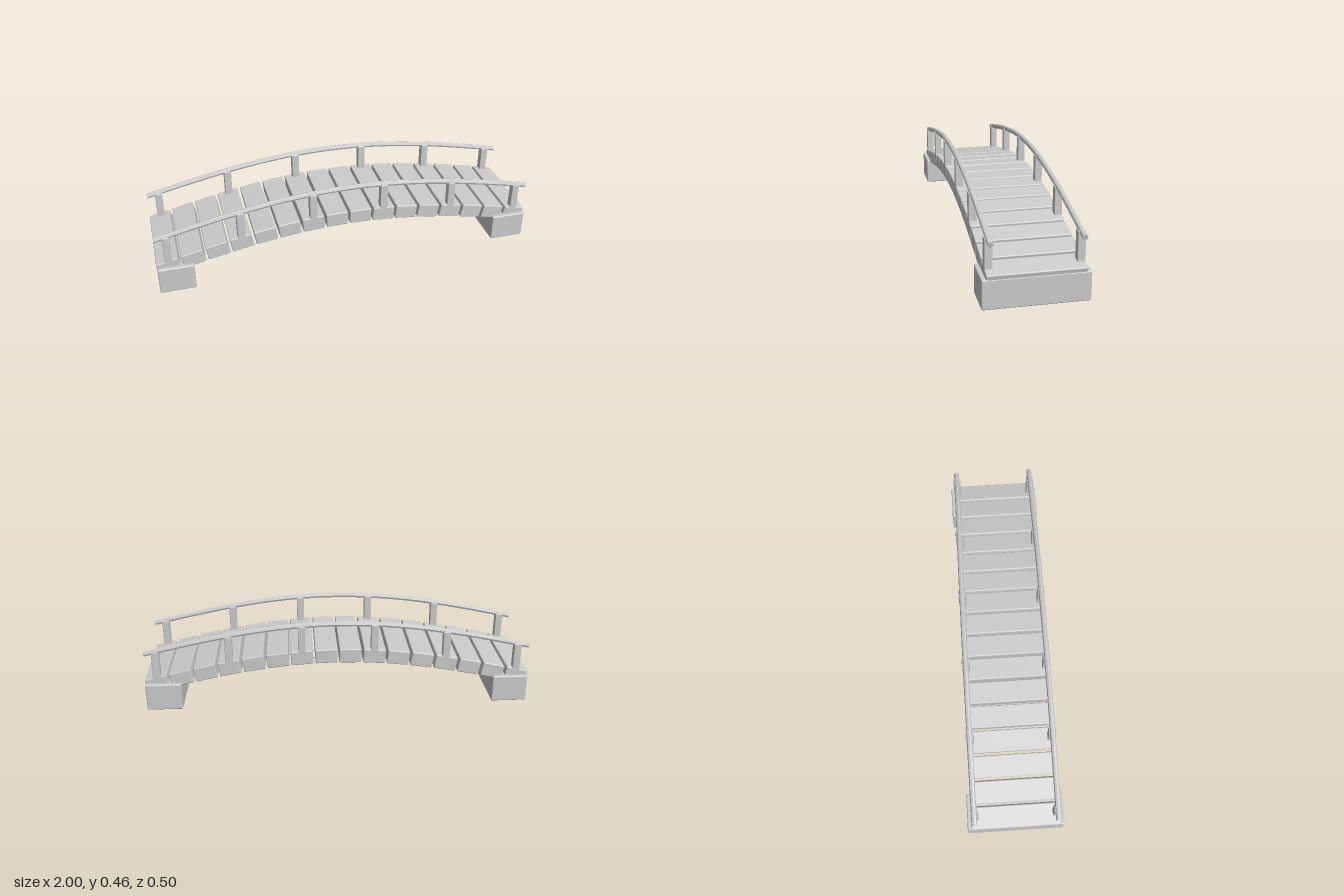
import * as THREE from 'three';
import { RoundedBoxGeometry } from 'three/addons/geometries/RoundedBoxGeometry.js';

const material = new THREE.MeshStandardMaterial({ color: 0xcccccc });
const railMaterial = new THREE.MeshStandardMaterial({ color: 0xcccccc, flatShading: true });

// Heights along the arch: centre line of the deck and of the handrails
const arch = (x) => Math.cos((x * Math.PI) / 2);
const deckY = (x) => 0.125 + 0.15 * arch(x);
const railY = (x) => 0.303 + 0.145 * arch(x);
const deckAngle = (x) => Math.atan(-0.15 * (Math.PI / 2) * Math.sin((x * Math.PI) / 2));

function box(name, w, h, d, r, x, y, z) {
  const mesh = new THREE.Mesh(new RoundedBoxGeometry(w, h, d, 2, r), material);
  mesh.name = name;
  mesh.position.set(x, y, z);
  return mesh;
}

// Handrail: an eight-sided bar swept along the arch, with closed ends
function handrail(z) {
  const group = new THREE.Group();
  group.name = 'handrail';
  const points = [];
  for (let i = 0; i <= 16; i++) {
    const x = -0.997 + (1.994 * i) / 16;
    points.push(new THREE.Vector3(x, railY(x), z));
  }
  const curve = new THREE.CatmullRomCurve3(points);
  const bar = new THREE.Mesh(new THREE.TubeGeometry(curve, 24, 0.014, 8, false), railMaterial);
  bar.name = 'railBar';
  group.add(bar);
  for (const t of [0, 1]) {
    const cap = new THREE.Mesh(new THREE.CircleGeometry(0.014, 8), railMaterial);
    cap.name = 'railEnd';
    const end = curve.getPointAt(t);
    const dir = curve.getTangentAt(t).multiplyScalar(t ? 1 : -1);
    cap.position.copy(end);
    cap.lookAt(end.clone().add(dir));
    group.add(cap);
  }
  return group;
}

export function createModel() {
  const bridge = new THREE.Group();
  bridge.name = 'archedFootbridge';

  // Abutment blocks at both ends
  for (const s of [-1, 1]) {
    bridge.add(box('abutment', 0.184, 0.144, 0.497, 0.007, s * 0.906, 0.072, 0));
  }

  // Deck planks, each tilted to follow the arch
  const deck = new THREE.Group();
  deck.name = 'deck';
  for (let i = 0; i < 16; i++) {
    const x = -0.9375 + i * 0.125;
    const plank = box('plank', 0.114, 0.076, 0.456, 0.006, x, deckY(x), 0);
    plank.rotation.z = deckAngle(x);
    deck.add(plank);
  }
  bridge.add(deck);

  // Railings: upright posts under a curved handrail on each side
  for (const s of [-1, 1]) {
    const railing = new THREE.Group();
    railing.name = s > 0 ? 'frontRailing' : 'backRailing';
    const z = s * 0.209;
    for (let i = 0; i < 6; i++) {
      const x = -0.9375 + i * 0.375;
      const bottom = deckY(x) + 0.025;
      const top = railY(x);
      railing.add(box('post', 0.038, top - bottom, 0.038, 0.004, x, (top + bottom) / 2, z));
    }
    railing.add(handrail(z));
    bridge.add(railing);
  }
  return bridge;
}
